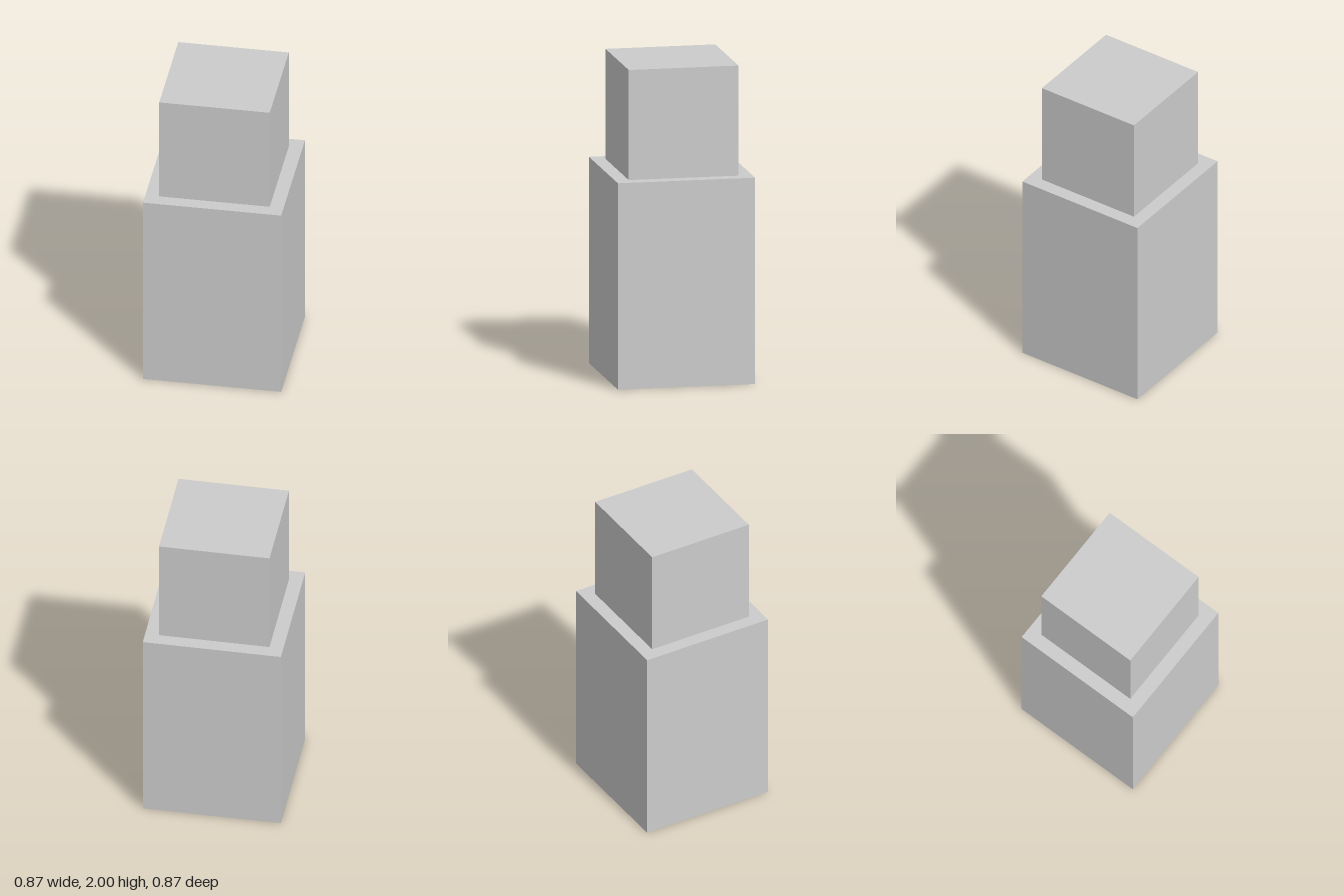
import * as THREE from 'three';

export function createModel() {
  const model = new THREE.Group();
  model.name = 'steppedPillar';
  const material = new THREE.MeshStandardMaterial({ color: 0xcccccc, flatShading: true });

  // Adds a square block whose underside rests at the given height
  function addBlock(name, width, height, bottom) {
    const block = new THREE.Mesh(new THREE.BoxGeometry(width, height, width), material);
    block.name = name;
    block.position.y = bottom + height / 2;
    model.add(block);
  }

  const unit = 2 / 46; // the whole stack is 46 units tall
  addBlock('lowerBlock', 20 * unit, 30 * unit, 0);
  addBlock('upperBlock', 16 * unit, 16 * unit, 30 * unit);

  return model;
}
